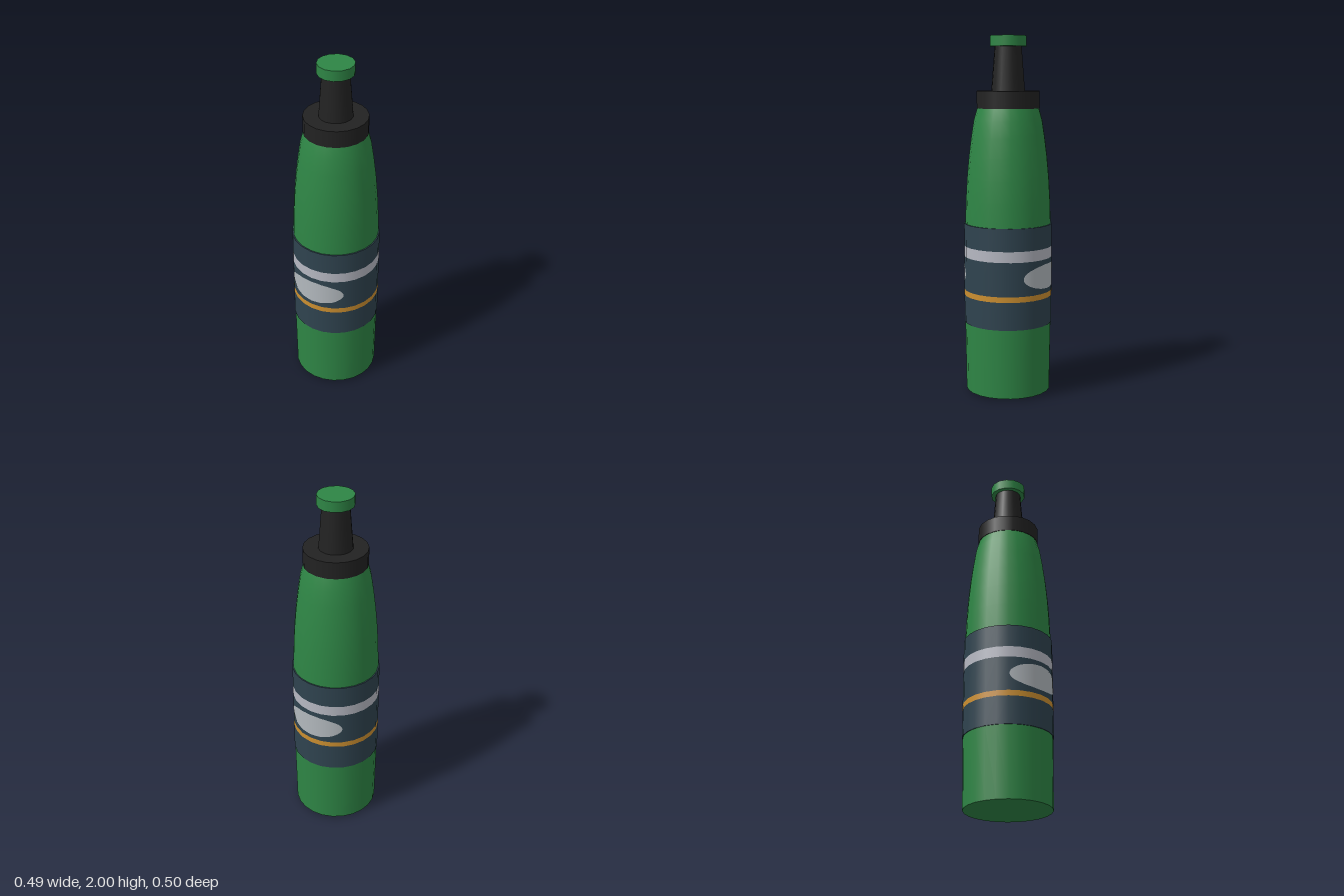
import * as THREE from 'three';

const mat = (name, color) => {
  const m = new THREE.MeshStandardMaterial({ color });
  m.name = name;
  return m;
};

const SIDES = 24;
const LABEL_R = 0.247;

// Oval plate that follows the facets of the label
function ovalGeometry(halfAngle, halfHeight, y) {
  const step = (Math.PI * 2) / SIDES;
  const cols = 48, pos = [], nor = [], idx = [];
  for (let i = 0; i <= cols; i++) {
    const t = -Math.cos((i / cols) * Math.PI);
    const a = t * halfAngle;
    const h = halfHeight * Math.sqrt(Math.max(0, 1 - t * t));
    const local = a - Math.floor(a / step) * step - step / 2;
    const r = (LABEL_R * Math.cos(step / 2)) / Math.cos(local) + 0.002;
    const s = Math.sin(a), c = Math.cos(a);
    pos.push(r * s, y - h, r * c, r * s, y + h, r * c);
    nor.push(s, 0, c, s, 0, c);
    if (i < cols) {
      const k = i * 2;
      idx.push(k, k + 2, k + 1, k + 1, k + 2, k + 3);
    }
  }
  const g = new THREE.BufferGeometry();
  g.setAttribute('position', new THREE.Float32BufferAttribute(pos, 3));
  g.setAttribute('normal', new THREE.Float32BufferAttribute(nor, 3));
  g.setIndex(idx);
  return g;
}

export function createModel() {
  const group = new THREE.Group();
  const green = mat('bottle green', 0x2e8545);
  const black = mat('black plastic', 0x222222);
  const slate = mat('label slate', 0x2f434f);
  const silver = mat('stripe silver', 0xb6b8c2);
  const pale = mat('oval pale grey', 0xb2b8bd);
  const amber = mat('stripe amber', 0xcc8f30);

  const add = (name, geometry, material) => {
    const mesh = new THREE.Mesh(geometry, material);
    mesh.name = name;
    group.add(mesh);
    return mesh;
  };
  const lathe = (pts, sides) =>
    new THREE.LatheGeometry(pts.map(([r, y]) => new THREE.Vector2(r, y)), sides);
  const tier = (name, y0, y1, r0, r1, sides, material) => {
    add(name, new THREE.CylinderGeometry(r1, r0, y1 - y0, sides), material)
      .position.y = (y0 + y1) / 2;
  };

  // Body tapering to the shoulder, with a shallow base
  add('body', lathe([
    [0.238, 0.012], [0.243, 0.4], [0.243, 0.8], [0.24, 0.97], [0.236, 1.1],
    [0.229, 1.22], [0.218, 1.34], [0.204, 1.45], [0.19, 1.54], [0.17, 1.61],
  ], SIDES), green);
  add('base', lathe([[0, 0], [0.12, 0], [0.18, 0.006], [0.238, 0.012]], SIDES), green);

  // Label wrapped around the body in coloured bands
  const bands = [
    ['lowerLabel', 0.403, 0.559, slate],
    ['amberStripe', 0.559, 0.59, amber],
    ['middleLabel', 0.59, 0.78, slate],
    ['silverStripe', 0.78, 0.84, silver],
    ['upperLabel', 0.84, 0.966, slate],
  ];
  for (const [name, y0, y1, m] of bands) tier(name, y0, y1, LABEL_R, LABEL_R, SIDES, m);

  // Matching ovals on the front and back
  const oval = ovalGeometry(0.765, 0.069, 0.685);
  add('frontOval', oval, pale);
  add('backOval', oval, pale).rotation.y = Math.PI;

  // Collar, nozzle and tip cap
  tier('collar', 1.605, 1.7, 0.175, 0.175, 20, black);
  tier('nozzle', 1.7, 1.945, 0.093, 0.074, 16, black);
  tier('tipCap', 1.942, 2, 0.1, 0.1, 14, green);

  return group;
}
